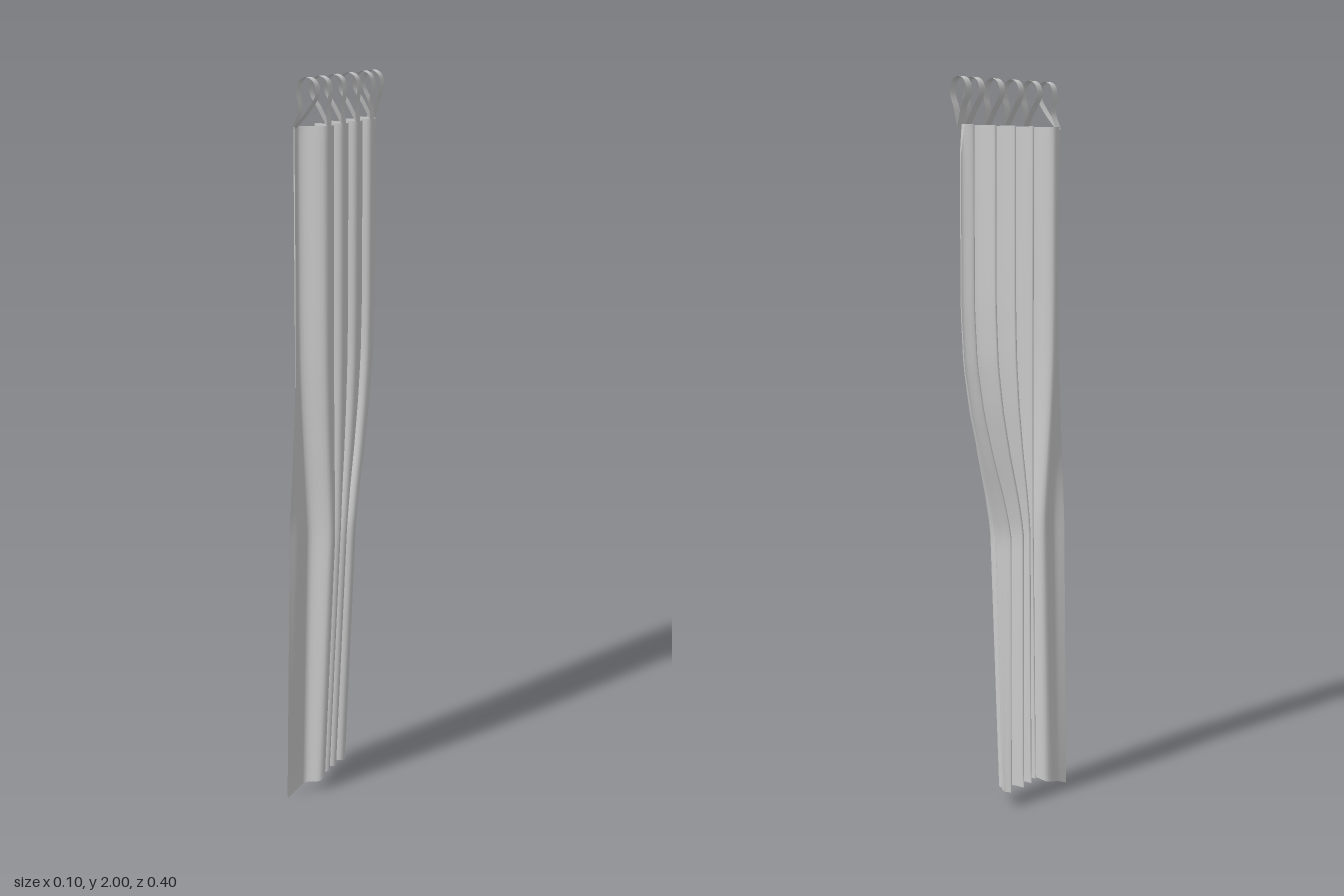
import * as THREE from 'three';

const material = new THREE.MeshStandardMaterial({ color: 0xcccccc, side: THREE.DoubleSide });

// Surface through a grid of points given by fn(i, j)
function gridSurface(name, nu, nv, fn) {
  const pos = [], index = [];
  for (let j = 0; j <= nv; j++) {
    for (let i = 0; i <= nu; i++) {
      pos.push(...fn(i / nu, j / nv));
      if (i < nu && j < nv) {
        const a = j * (nu + 1) + i, b = a + 1, c = a + nu + 1, d = c + 1;
        index.push(a, b, d, a, d, c);
      }
    }
  }
  const geo = new THREE.BufferGeometry();
  geo.setAttribute('position', new THREE.Float32BufferAttribute(pos, 3));
  geo.setIndex(index);
  geo.computeVertexNormals();
  const mesh = new THREE.Mesh(geo, material);
  mesh.name = name;
  return mesh;
}

// Piecewise-linear lookup in a list of [key, value]
function lookup(table, k) {
  for (let i = 1; i < table.length; i++) {
    const [k0, v0] = table[i - 1], [k1, v1] = table[i];
    if (k <= k1) return v0 + (v1 - v0) * Math.max(0, (k - k0) / (k1 - k0));
  }
  return table[table.length - 1][1];
}

// Cross-sections as [x, z]: front hem, then valley / crest folds, then back hem
function section(front, valleys, crests, back) {
  const pts = [...front];
  valleys.forEach(([vx, vz], i) => {
    pts.push([vx, vz]);
    if (i < crests.length) {
      const [cx, cz] = crests[i], next = valleys[i + 1][1];
      pts.push([cx - 0.008, cz + (vz - cz) * 0.55], [cx, cz], [cx - 0.008, cz + (next - cz) * 0.55]);
    }
  });
  pts.push(...back);
  return new THREE.CatmullRomCurve3(pts.map(([x, z]) => new THREE.Vector3(x, 0, z)), false, 'centripetal');
}

const upper = section(
  [[-0.01, 0.2], [-0.024, 0.18]],
  [[-0.02, 0.158], [-0.022, 0.075], [-0.025, -0.003], [-0.025, -0.083], [-0.012, -0.155]],
  [[0.05, 0.113], [0.05, 0.035], [0.05, -0.043], [0.05, -0.121]],
  [[0.015, -0.178], [-0.008, -0.203]]);
const middle = section(
  [[-0.035, 0.198], [-0.02, 0.17]],
  [[-0.016, 0.125], [-0.022, 0.077], [-0.04, 0.042], [-0.048, 0.004], [-0.045, -0.045]],
  [[0.05, 0.1], [0.046, 0.06], [0.046, 0.024], [0.05, -0.02]],
  [[0.0, -0.06], [-0.045, -0.087]]);
const lower = section(
  [[-0.052, 0.192], [-0.045, 0.165]],
  [[-0.036, 0.12], [-0.034, 0.075], [-0.047, 0.04], [-0.053, 0.0], [-0.05, -0.05]],
  [[0.014, 0.095], [0.01, 0.06], [0.01, 0.022], [0.014, -0.025]],
  [[-0.03, -0.065], [-0.052, -0.086]]);

// How far the cloth is gathered towards the front at each height
const gather = [[0.78, 1], [0.88, 0.8], [1.0, 0.5], [1.12, 0.25], [1.25, 0.07], [1.4, 0.0]];
const hem = [[0, 0], [0.2, 0.042], [0.94, 0.042], [1, 0.058]];

export function createModel() {
  const group = new THREE.Group();
  group.name = 'curtain';

  // Pleated cloth, gathered below the middle
  const NU = 110, top = 1.878;
  const rows = [upper, middle, lower].map((c) => {
    const n = c.points.length - 1;
    return Array.from({ length: NU + 1 }, (_, i) => c.getPoint(i / NU, new THREE.Vector3()));
  });
  group.add(gridSurface('cloth', NU, 48, (u, v) => {
    const i = Math.round(u * NU);
    const h = lookup(hem, u);
    const y = h + (top - h) * v;
    const p = new THREE.Vector3();
    if (y > 0.78) p.lerpVectors(rows[0][i], rows[1][i], lookup(gather, y));
    else p.lerpVectors(rows[2][i], rows[1][i], Math.max(0, Math.min(1, (y - 0.04) / 0.74)));
    // upper back corner turns in
    const pull = Math.max(0, (y - 1.8) / 0.078) * Math.max(0, (u - 0.93) / 0.07);
    return [p.x, y, p.z + pull * 0.015];
  }));

  // Hanging loops: teardrop ribbons pinched where they meet the cloth
  const loops = [[0.177, -0.024], [0.112, 0.042], [0.035, 0.042], [-0.043, 0.042], [-0.123, 0.042], [-0.174, 0.02]];
  for (const [z, baseX] of loops) {
    const path = new THREE.CatmullRomCurve3([
      [baseX, 1.872], [0.002 + baseX * 0.3, 1.918], [-0.011, 1.962], [-0.003, 1.99], [0.017, 2.0],
      [0.037, 1.99], [0.045, 1.962], [0.026 + baseX * 0.3, 1.918], [baseX, 1.872],
    ].map(([x, y]) => new THREE.Vector3(x, y, 0)));
    group.add(gridSurface('hangingLoop', 1, 40, (u, v) => {
      const p = path.getPoint(v);
      return [p.x, p.y, z + (u - 0.5) * 0.023];
    }));
  }
  return group;
}
